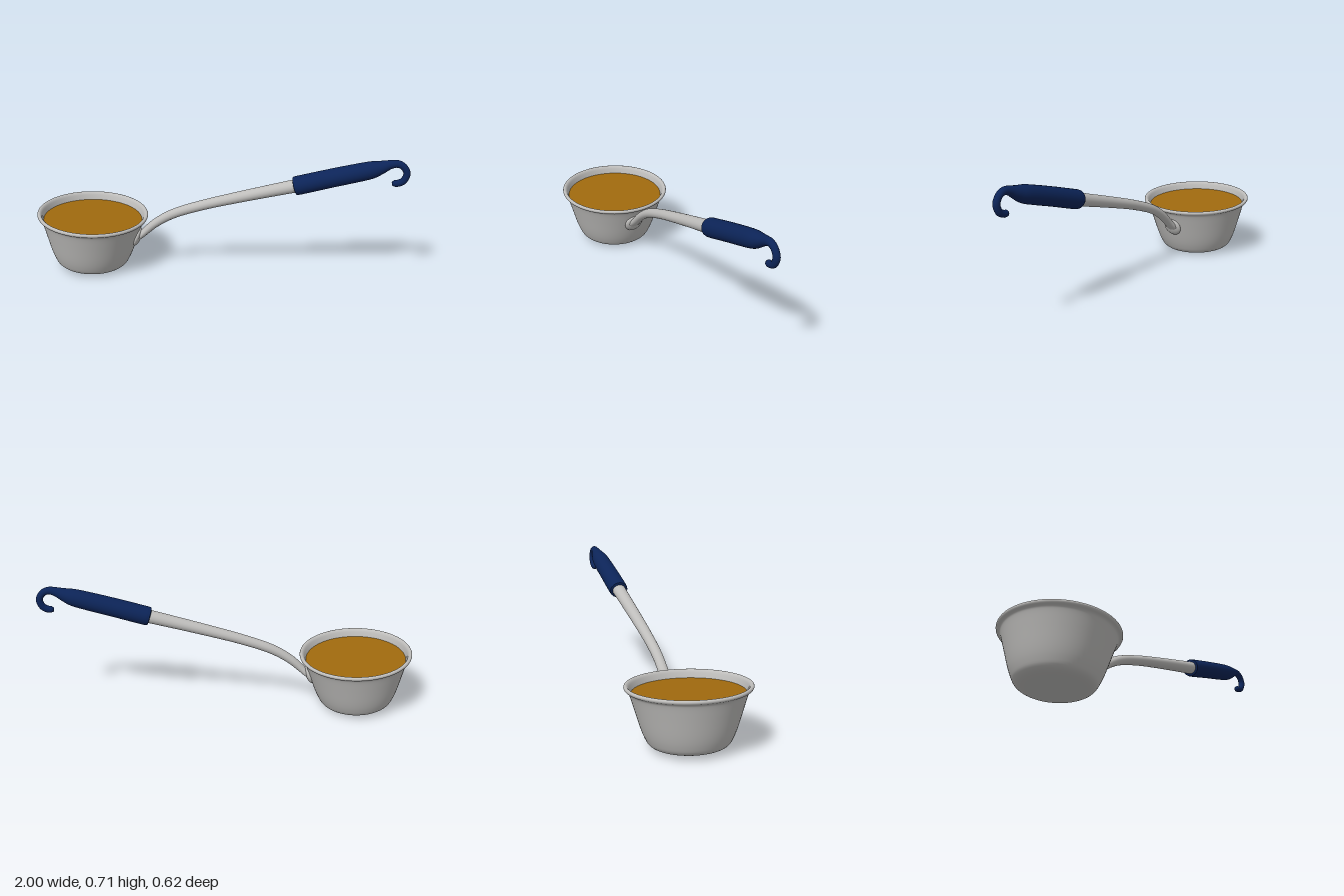
import * as THREE from 'three';

// Sweep an elliptical section along a path in the xy plane.
// Each station is [x, y, radius in plane, radius along z].
function sweep(stations, steps = 6, sides = 28) {
  const curve = (a, b) => new THREE.CatmullRomCurve3(
    stations.map(s => new THREE.Vector3(s[a], s[b], 0)), false, 'catmullrom', 0.5);
  const path = curve(0, 1), radii = curve(2, 3);
  const rings = (stations.length - 1) * steps;
  const pos = [], idx = [];
  for (let i = 0; i <= rings; i++) {
    const t = i / rings;
    const p = path.getPoint(t), r = radii.getPoint(t), d = path.getTangent(t);
    for (let j = 0; j < sides; j++) {
      const a = (j / sides) * Math.PI * 2;
      const n = Math.cos(a) * Math.max(r.x, 0.0005), b = Math.sin(a) * Math.max(r.y, 0.0005);
      pos.push(p.x - d.y * n, p.y + d.x * n, b);
      if (i < rings) {
        const k = i * sides + j, m = i * sides + (j + 1) % sides;
        idx.push(k, k + sides, m, m, k + sides, m + sides);
      }
    }
  }
  const g = new THREE.BufferGeometry();
  g.setAttribute('position', new THREE.Float32BufferAttribute(pos, 3));
  // Wind faces outwards
  for (let i = 0; i < idx.length; i += 3) [idx[i + 1], idx[i + 2]] = [idx[i + 2], idx[i + 1]];
  g.setIndex(orientOutward(pos, idx));
  g.computeVertexNormals();
  return g;
}

// Flip the winding if the enclosed volume is negative
function orientOutward(pos, idx) {
  const v = i => new THREE.Vector3(pos[3 * i], pos[3 * i + 1], pos[3 * i + 2]);
  let volume = 0;
  for (let i = 0; i < idx.length; i += 3) {
    volume += v(idx[i]).dot(v(idx[i + 1]).cross(v(idx[i + 2])));
  }
  return volume < 0 ? idx.slice().reverse() : idx;
}

function material(name, color) {
  const m = new THREE.MeshStandardMaterial({ color });
  m.name = name;
  return m;
}

function part(name, geometry, mat, parent) {
  const mesh = new THREE.Mesh(geometry, mat);
  mesh.name = name;
  parent.add(mesh);
  return mesh;
}

export function createModel() {
  const model = new THREE.Group();
  model.name = 'ladle';
  const steel = material('steel', 0xbebdbb);
  const navy = material('navy grip', 0x0c2458);
  const broth = material('amber broth', 0xa06a0e);

  // Bowl: outer wall, rolled lip and inner wall in one profile, tipped slightly
  const cup = new THREE.Group();
  cup.name = 'cup';
  cup.position.set(-0.718, 0.009, 0);
  cup.rotation.z = -0.058;
  cup.scale.x = 0.98;
  model.add(cup);
  const profile = [
    [0, 0], [0.1, 0.001], [0.16, 0.006], [0.195, 0.022], [0.215, 0.055], [0.236, 0.11],
    [0.263, 0.2], [0.282, 0.262], [0.291, 0.28], [0.304, 0.288], [0.309, 0.297],
    [0.306, 0.305], [0.297, 0.307], [0.288, 0.3], [0.281, 0.285], [0.271, 0.255],
    [0.25, 0.19], [0.225, 0.11], [0.2, 0.05], [0.15, 0.02], [0, 0.013],
  ].map(p => new THREE.Vector2(...p));
  const points = new THREE.SplineCurve(profile).getPoints(80);
  points.forEach(p => { p.x = Math.max(p.x, 0); });
  part('bowl', new THREE.LatheGeometry(points, 72), steel, cup);

  // Liquid surface
  const surface = part('broth', new THREE.CircleGeometry(0.277, 72), broth, cup);
  surface.rotation.x = -Math.PI / 2;
  surface.position.y = 0.267;

  // Rounded pad joining the handle to the bowl
  const pad = part('handlePad', new THREE.SphereGeometry(1, 32, 20), steel, model);
  pad.scale.set(0.02, 0.053, 0.053);
  pad.position.set(-0.452, 0.185, 0);
  pad.rotation.z = -0.34;

  // Curved steel shaft, thickening towards the grip
  part('shaft', sweep([
    [-0.456, 0.172, 0.012, 0.04], [-0.435, 0.194, 0.018, 0.034], [-0.4, 0.228, 0.021, 0.028],
    [-0.35, 0.273, 0.023, 0.027], [-0.28, 0.32, 0.025, 0.027], [-0.2, 0.358, 0.026, 0.028],
    [-0.1, 0.394, 0.027, 0.029], [0, 0.426, 0.028, 0.031], [0.2, 0.484, 0.031, 0.034],
    [0.43, 0.548, 0.035, 0.038],
  ]), steel, model);

  // Grip tapering into a hanging hook
  part('gripAndHook', sweep([
    [0.408, 0.542, 0, 0], [0.4085, 0.5422, 0.042, 0.045], [0.418, 0.545, 0.049, 0.051],
    [0.45, 0.554, 0.05, 0.053], [0.6, 0.599, 0.049, 0.052], [0.72, 0.633, 0.048, 0.05],
    [0.8, 0.656, 0.045, 0.046], [0.85, 0.674, 0.034, 0.036], [0.89, 0.69, 0.024, 0.025],
    [0.927, 0.697, 0.02, 0.019], [0.96, 0.683, 0.018, 0.018], [0.979, 0.647, 0.018, 0.018],
    [0.965, 0.608, 0.018, 0.018], [0.937, 0.592, 0.018, 0.018], [0.918, 0.591, 0.016, 0.016],
    [0.909, 0.592, 0.009, 0.009], [0.906, 0.592, 0, 0],
  ]), navy, model);

  return model;
}
